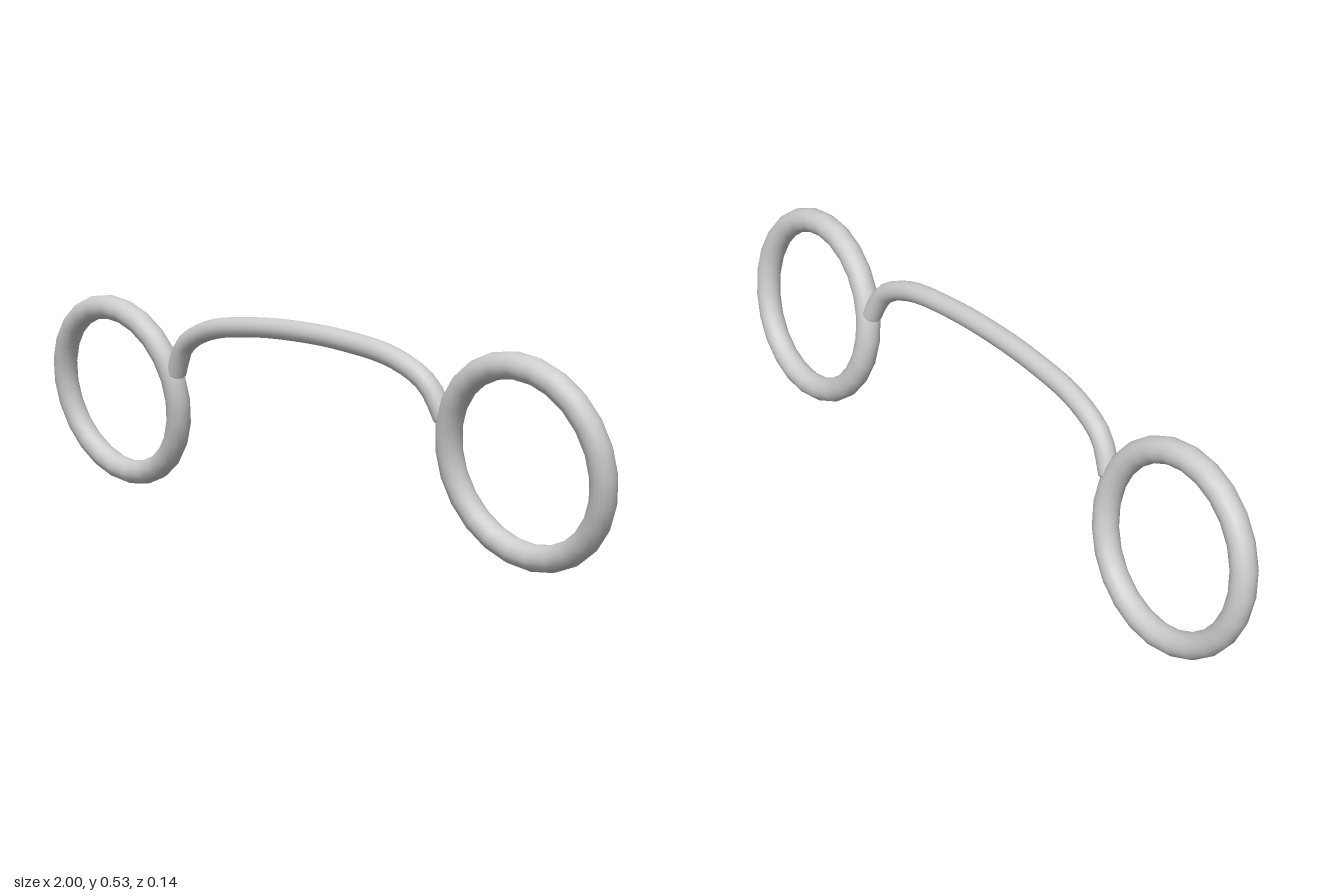
import * as THREE from 'three';

export function createModel() {
  const model = new THREE.Group();
  const material = new THREE.MeshStandardMaterial({ color: 0xcccccc });
  const centreY = 0.267;
  const add = (name, geometry) => {
    const mesh = new THREE.Mesh(geometry, material);
    mesh.name = name;
    model.add(mesh);
    return mesh;
  };

  // Two rings, leaning forward at the top
  for (const [side, name] of [[1, 'leftRing'], [-1, 'rightRing']]) {
    const ring = add(name, new THREE.TorusGeometry(0.237, 0.033, 16, 24));
    ring.position.set(side * 0.73, centreY, 0);
    ring.rotation.x = 0.158;
  }

  // Arched bar in nearly the same leaning plane; one half is mirrored
  const half = [[0.484, 0.345], [0.473, 0.37], [0.437, 0.425], [0.335, 0.475], [0.17, 0.5]];
  const lean = (x, y) => new THREE.Vector3(x, y, (y - centreY) * 0.135);
  const points = [
    ...half.map(([x, y]) => lean(-x, y)),
    lean(0, 0.507),
    ...half.map(([x, y]) => lean(x, y)).reverse(),
  ];
  const barRadius = 0.0265;
  const curve = new THREE.CatmullRomCurve3(points);
  add('bridge', new THREE.TubeGeometry(curve, 32, barRadius, 16));

  // Shallow rounded tips close the bar where it meets the rings
  for (const [t, sign, name] of [[0, -1, 'rightBridgeTip'], [1, 1, 'leftBridgeTip']]) {
    const tip = add(name, new THREE.SphereGeometry(barRadius, 16, 6, 0, Math.PI * 2, 0, Math.PI / 2));
    tip.scale.y = 0.4;
    tip.position.copy(curve.getPointAt(t));
    const outward = curve.getTangentAt(t).multiplyScalar(sign);
    tip.quaternion.setFromUnitVectors(new THREE.Vector3(0, 1, 0), outward);
  }

  return model;
}
